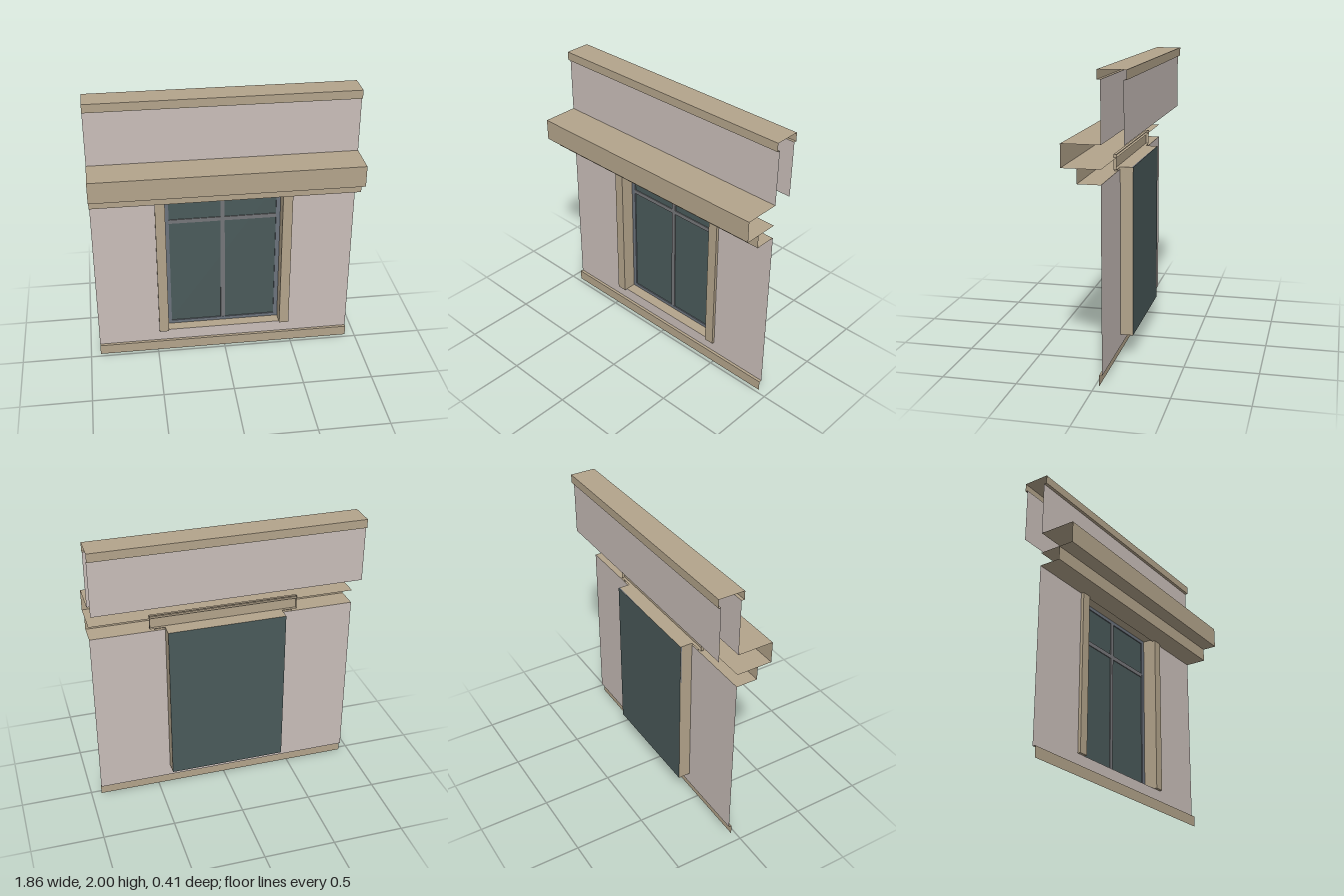
import * as THREE from 'three';

const material = (name, color, side = THREE.DoubleSide) => {
  const m = new THREE.MeshStandardMaterial({ color, side });
  m.name = name;
  return m;
};

// Open folded sheet: sweeps a 2D profile between two positions with hard folds.
function sheet(profile, from, to, place) {
  const pos = [];
  for (let i = 0; i < profile.length - 1; i++) {
    const a = place(profile[i], from), b = place(profile[i], to);
    const c = place(profile[i + 1], to), d = place(profile[i + 1], from);
    pos.push(...a, ...b, ...c, ...a, ...c, ...d);
  }
  const g = new THREE.BufferGeometry();
  g.setAttribute('position', new THREE.Float32BufferAttribute(pos, 3));
  g.computeVertexNormals();
  return g;
}
const alongX = (profile, x0, x1) => sheet(profile, x0, x1, ([z, y], x) => [x, y, z]);
const alongY = (profile, y0, y1) => sheet(profile, y0, y1, ([x, z], y) => [x, y, z]);

export function createModel() {
  const group = new THREE.Group();
  group.name = 'wallWithWindow';
  const stone = material('stone trim', 0xb3a48b);
  const plaster = material('plaster wall', 0xc9beb9);
  const glass = material('dark glass', 0x4a5a5a);
  const frame = material('window frame', 0x6b727c);
  const bar = material('glazing bar', 0x757679);

  const add = (name, geometry, mat, z = 0) => {
    const mesh = new THREE.Mesh(geometry, mat);
    mesh.name = name;
    mesh.position.z = z;
    group.add(mesh);
    return mesh;
  };

  const W = 0.93;                        // half width of the wall
  const wallZ = -0.048, trimZ = -0.027;  // wall face and raised trim face
  const backZ = -0.19, glassZ = -0.135;
  const ox = 0.415, sill = 0.16, head = 1.32, wallTop = 1.305;

  // Lower wall, wrapped around the window opening
  const wall = new THREE.Shape([
    [-W, 0.075], [W, 0.075], [W, wallTop], [ox, wallTop],
    [ox, sill], [-ox, sill], [-ox, wallTop], [-W, wallTop],
  ].map(([x, y]) => new THREE.Vector2(x, y)));
  add('lowerWall', new THREE.ShapeGeometry(wall), plaster, wallZ);

  // Parapet walls and cap
  add('parapetFront', alongX([[wallZ, 1.55], [wallZ, 1.94]], -W, W), plaster);
  add('parapetBack', alongX([[backZ, 1.55], [backZ, 1.94]], -W, W), plaster);
  add('parapetCap', alongX([
    [wallZ, 1.94], [trimZ, 1.94], [trimZ, 2], [-0.208, 2], [-0.208, 1.94], [backZ, 1.94],
  ], -W, W), stone);

  // Stepped cornice, open at the back and ends
  add('corniceUpper', alongX([[wallZ, 1.4], [0.205, 1.4], [0.205, 1.55], [wallZ, 1.55]], -W, W), stone);
  add('corniceLower', alongX([[wallZ, wallTop], [0.103, wallTop], [0.103, 1.4]], -W, W), stone);

  // Base moulding
  add('baseMoulding', alongX([[wallZ, 0.075], [trimZ, 0.075], [trimZ, 0]], -W, W), stone);

  // Window jambs, each folding inward to the glass
  for (const s of [-1, 1]) {
    const name = s > 0 ? 'leftJamb' : 'rightJamb';
    add(name, alongY([
      [s * 0.485, wallZ], [s * 0.485, trimZ], [s * ox, trimZ], [s * ox, glassZ],
    ], sill, head), stone);
    const ends = [s * ox, s * 0.485];
    add(name + 'Foot', alongX([[wallZ, sill], [trimZ, sill]], ...ends), stone);
  }
  add('sillReveal', alongX([[glassZ, sill], [wallZ, sill]], -ox, ox), stone);
  add('headReveal', alongX([[glassZ, head], [wallZ, head]], -ox, ox), stone);

  // Lintel: shallow tray open at the back
  const lx = 0.52, lintelTop = 1.42;
  add('lintel', alongX([
    [wallZ, head], [trimZ, head], [trimZ, lintelTop], [wallZ, lintelTop],
  ], -lx, lx), stone);
  for (const x of [-lx, lx]) {
    add('lintelEnd', alongY([[x, wallZ], [x, trimZ]], head, lintelTop), stone);
  }

  // Glass
  add('glass', alongX([[glassZ, sill], [glassZ, head]], -ox, ox), glass);

  // Frame and glazing bars, standing just in front of the glass
  const border = new THREE.Shape([
    [-ox, sill], [ox, sill], [ox, head], [-ox, head],
  ].map(([x, y]) => new THREE.Vector2(x, y)));
  border.holes.push(new THREE.Path([
    [-0.385, 0.185], [-0.385, 1.295], [0.385, 1.295], [0.385, 0.185],
  ].map(([x, y]) => new THREE.Vector2(x, y))));
  add('windowFrame', new THREE.ExtrudeGeometry(border, { depth: 0.008, bevelEnabled: false }),
    frame, glassZ + 0.001);

  const mullion = new THREE.BoxGeometry(0.03, 1.11, 0.006);
  mullion.translate(0, 0.74, 0.004);
  add('mullion', mullion, bar, glassZ + 0.001);
  for (const s of [-1, 1]) {
    const transom = new THREE.BoxGeometry(0.37, 0.03, 0.006);
    transom.translate(s * 0.2, 1.035, 0.004);
    add('transom', transom, bar, glassZ + 0.001);
  }
  return group;
}
